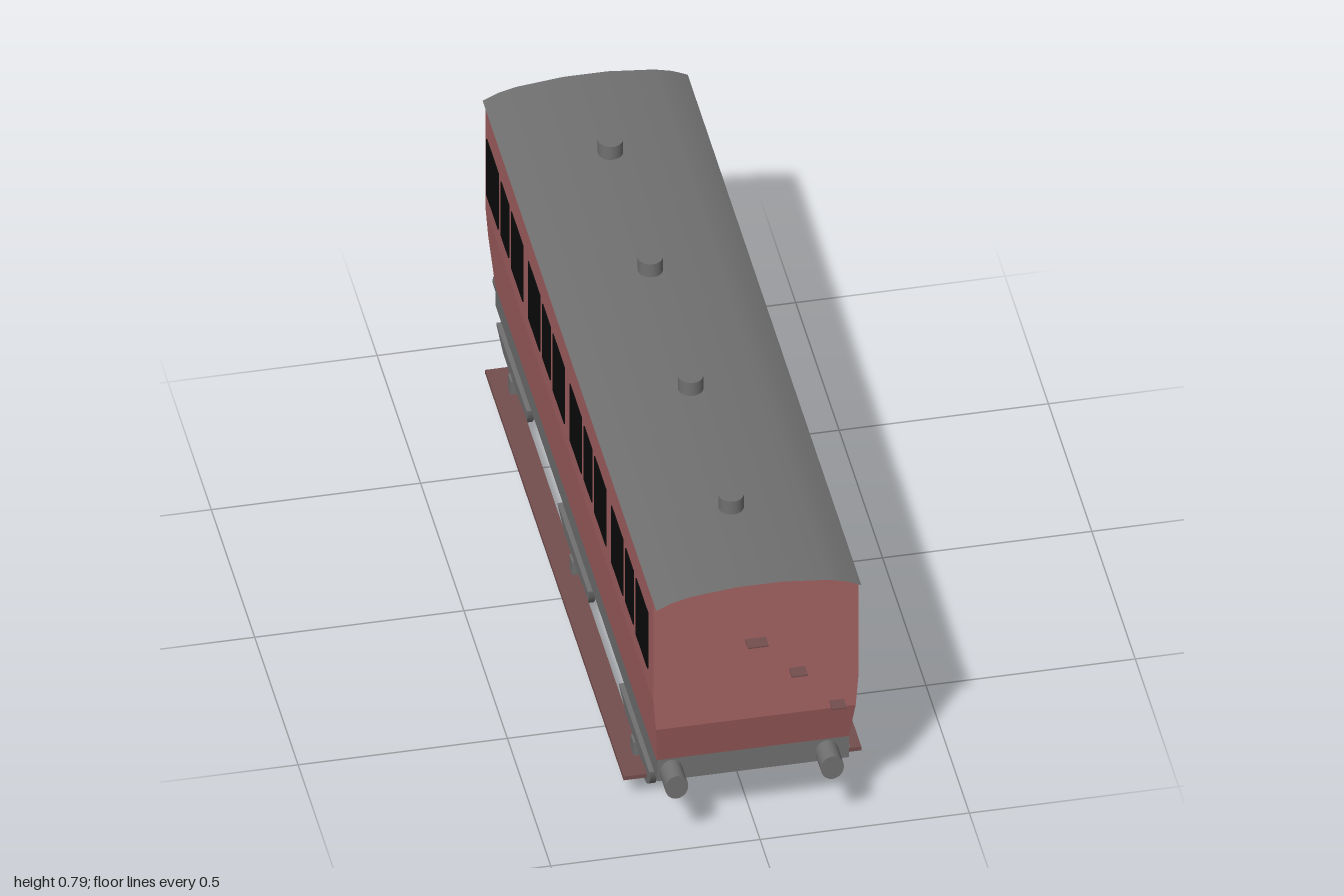
import * as THREE from 'three';

const CX = -0.003; // the coach body sits very slightly off the centre line

const paint = (name, color, extra = {}) => {
  const m = new THREE.MeshStandardMaterial({ color, ...extra });
  m.name = name;
  return m;
};

export function createModel() {
  const model = new THREE.Group();
  model.name = 'railwayCoach';

  const red = paint('coachRed', 0xa56262, { side: THREE.DoubleSide });
  const grey = paint('metalGrey', 0x707070, { side: THREE.DoubleSide });
  const brown = paint('stepBrown', 0x744e4e);
  const black = paint('windowBlack', 0x0a0a0a);

  const add = (name, geometry, material, x = 0, y = 0, z = 0) => {
    const mesh = new THREE.Mesh(geometry, material);
    mesh.name = name;
    mesh.position.set(x, y, z);
    model.add(mesh);
    return mesh;
  };
  // box given by its limits on each axis
  const box = (name, material, x0, x1, y0, y1, z0, z1) =>
    add(name, new THREE.BoxGeometry(x1 - x0, y1 - y0, z1 - z0), material,
      (x0 + x1) / 2, (y0 + y1) / 2, (z0 + z1) / 2);

  // body walls: rectangular rings [y, half width, half length] joined by flat faces
  const rings = [[0.215, 0.229, 0.93], [0.335, 0.2385, 0.966], [0.42, 0.245, 0.966], [0.712, 0.245, 0.966]];
  const corner = ([y, w, l], i) => [CX + (i === 0 || i === 3 ? w : -w), y, i < 2 ? l : -l];
  const wall = [];
  for (let r = 0; r < rings.length - 1; r++) {
    for (let i = 0; i < 4; i++) {
      const j = (i + 1) % 4;
      const a = corner(rings[r], i), b = corner(rings[r], j);
      const c = corner(rings[r + 1], j), d = corner(rings[r + 1], i);
      wall.push(...a, ...c, ...b, ...a, ...d, ...c);
    }
  }
  const wallGeometry = new THREE.BufferGeometry();
  wallGeometry.setAttribute('position', new THREE.Float32BufferAttribute(wall, 3));
  wallGeometry.computeVertexNormals();
  add('bodyWalls', wallGeometry, red);

  // roof curve, shared by the gables and the roof sheet
  const half = [[0.245, 0.711], [0.208, 0.728], [0.165, 0.739], [0.053, 0.751]];
  const arc = [...half, ...half.map(([x, y]) => [-x, y]).reverse()];
  const gable = new THREE.ShapeGeometry(new THREE.Shape(arc.map(([x, y]) => new THREE.Vector2(x, y))));
  add('frontGable', gable, red, CX, 0, 0.966);
  add('backGable', gable, red, CX, 0, -0.966).rotation.y = Math.PI;

  const roof = new THREE.PlaneGeometry(1, 2, arc.length - 1, 1).rotateX(-Math.PI / 2);
  const p = roof.attributes.position;
  for (let i = 0; i < p.count; i++) {
    const [x, y] = arc[arc.length - 1 - (i % arc.length)];
    p.setXY(i, x, y + 0.002);
  }
  roof.computeVertexNormals();
  add('roof', roof, grey, CX);

  // roof vents
  for (const z of [0.695, 0.23, -0.235, -0.695]) {
    add('roofVent', new THREE.CylinderGeometry(0.03, 0.03, 0.05, 20), grey, -0.006, 0.766, z);
  }

  // underframe and buffers
  box('underframe', grey, CX + 0.001 - 0.229, CX + 0.001 + 0.229, 0.156, 0.22, -0.931, 0.931);
  for (const end of [1, -1]) {
    box('bufferBeam', grey, -0.231, 0.227, 0.156, 0.224, end * 0.925 - 0.006, end * 0.925 + 0.006);
    for (const x of [-0.198, 0.174]) {
      const buffer = add('buffer', new THREE.CylinderGeometry(1, 1, 0.07, 24).rotateX(Math.PI / 2), grey, x, 0.181, end * 0.96);
      buffer.scale.set(0.0275, 0.033, 1);
    }
  }

  // four compartment windows along the left side
  for (const z of [0.709, 0.238, -0.23, -0.698]) {
    box('leftWindow', black, 0.24, 0.2445, 0.482, 0.638, z - 0.045, z + 0.045);
  }
  // door window flanked by two wider windows, four times along the right side
  for (let i = 0; i < 4; i++) {
    const z = -0.738 + i * 0.479;
    box('rightDoorWindow', black, -0.2505, -0.246, 0.48, 0.638, z - 0.045, z + 0.045);
    for (const s of [-1, 1]) {
      const c = z + s * 0.142;
      box('rightWindow', black, -0.2505, -0.246, 0.474, 0.64, c - 0.067, c + 0.067);
    }
  }

  // climbing steps on both ends
  for (const end of [1, -1]) {
    for (const [x, y, w] of [[-0.004, 0.568, 0.05], [0.095, 0.467, 0.038], [0.19, 0.356, 0.035]]) {
      const z = end * 0.982;
      box('endStep', brown, x - w / 2, x + w / 2, y - 0.002, y + 0.002, z - 0.018, z + 0.018);
    }
  }

  // wheelsets with leaf springs and axle boxes
  const springShape = new THREE.Shape([[-0.095, 0.115], [0.095, 0.115], [0.174, 0.141], [0.174, 0.146], [-0.174, 0.146]]
    .map(([x, y]) => new THREE.Vector2(x, y)));
  const spring = new THREE.ExtrudeGeometry(springShape, { depth: 0.028, bevelEnabled: false })
    .translate(0, 0, -0.014).rotateY(Math.PI / 2);
  const wheel = new THREE.CylinderGeometry(0.087, 0.087, 0.016, 32).rotateZ(Math.PI / 2);
  for (const z of [0.707, 0, -0.707]) {
    add('axle', new THREE.CylinderGeometry(0.012, 0.012, 0.34, 12).rotateZ(Math.PI / 2), grey, -0.002, 0.08, z);
    for (const s of [1, -1]) {
      add('wheel', wheel, grey, -0.002 + s * 0.208, 0.087, z);
      add('leafSpring', spring, grey, s * 0.226, 0, z);
      const x = s * 0.229;
      box('axleBox', grey, x - 0.016, x + 0.016, 0.065, 0.115, z - 0.016, z + 0.016);
    }
  }

  // long footboards
  for (const s of [1, -1]) {
    box('footboard', brown, s * 0.256 - 0.028, s * 0.256 + 0.028, 0.066, 0.077, -0.797, 0.797);
  }

  return model;
}
